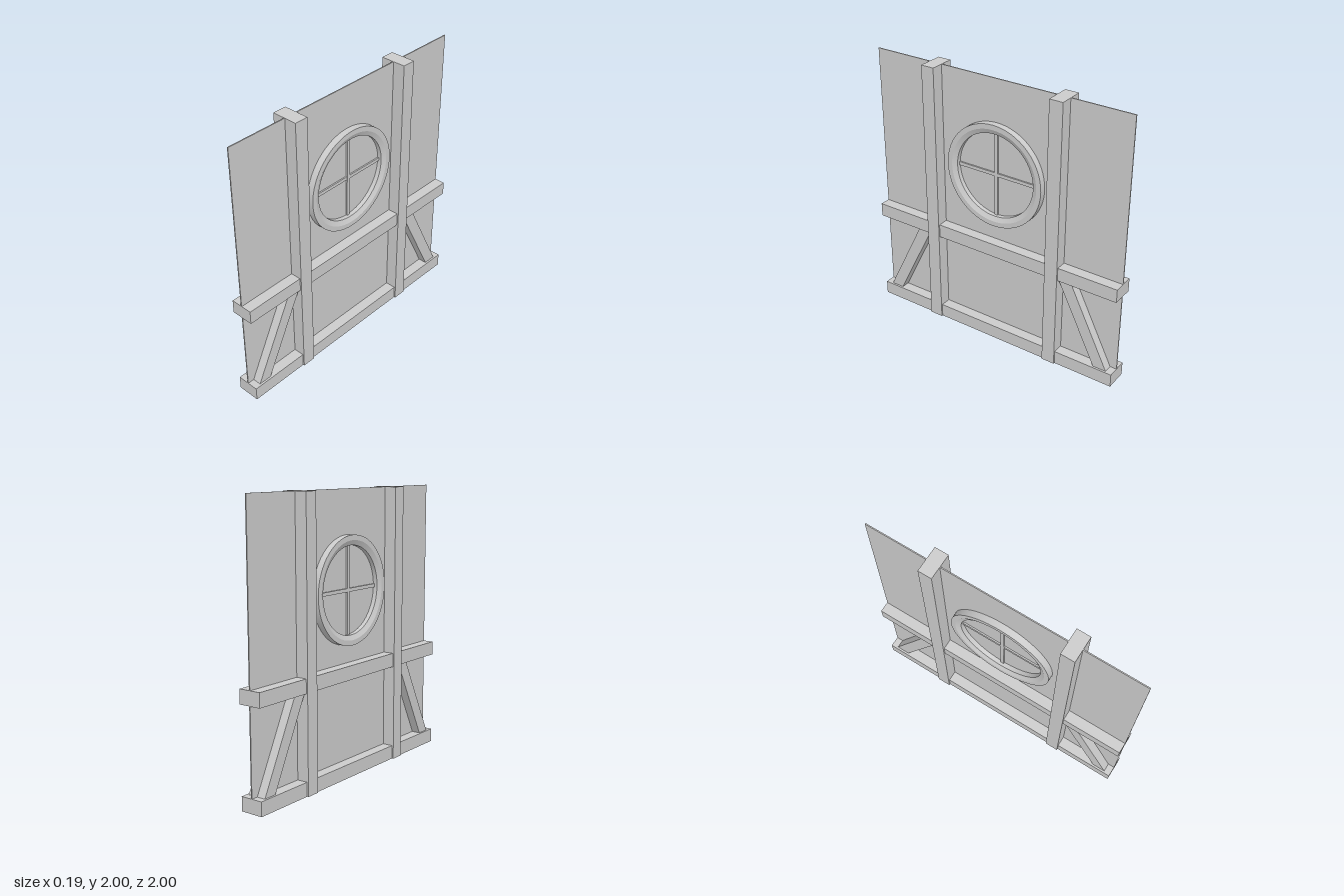
import * as THREE from 'three';

const material = new THREE.MeshStandardMaterial({ color: 0xcccccc });

export function createModel() {
  const model = new THREE.Group();
  model.name = 'timberWall';

  const add = (name, geometry, parent = model) => {
    const mesh = new THREE.Mesh(geometry, material);
    mesh.name = name;
    parent.add(mesh);
    return mesh;
  };
  const box = (name, w, h, d, y, z, parent) => {
    const mesh = add(name, new THREE.BoxGeometry(w, h, d), parent);
    mesh.position.set(0, y, z);
    return mesh;
  };

  // Thin wall panel
  box('panel', 0.008, 2, 2, 1, 0);

  // Horizontal rails
  box('bottomRail', 0.166, 0.1, 2, 0.05, 0);
  box('middleRail', 0.166, 0.1, 2, 0.75, 0);

  // Upright posts and slanted braces, mirrored front to back
  for (const s of [1, -1]) {
    const side = s > 0 ? 'front' : 'back';
    box(side + 'Post', 0.188, 2, 0.1, 1, 0.5 * s);

    const shape = new THREE.Shape([
      [0.95, 0.1], [0.65, 0.7], [0.55, 0.7], [0.85, 0.1],
    ].map(([z, y]) => new THREE.Vector2(-z * s, y)));
    const brace = new THREE.ExtrudeGeometry(shape, { depth: 0.136, bevelEnabled: false });
    brace.translate(0, 0, -0.068);
    brace.rotateY(Math.PI / 2);
    add(side + 'Brace', brace);
  }

  // Round window: bevelled ring and cross bars
  const roundWindow = new THREE.Group();
  roundWindow.name = 'roundWindow';
  roundWindow.position.y = 1.31;
  model.add(roundWindow);

  // Corners are doubled to keep the edges of the ring sharp
  const profile = [
    [0.31, 0.036], [0.345, 0.052], [0.345, 0.052], [0.381, 0.052], [0.381, 0.052],
    [0.381, -0.052], [0.381, -0.052], [0.345, -0.052], [0.345, -0.052],
    [0.31, -0.036], [0.31, -0.036], [0.31, 0.036],
  ].reverse().map(([r, x]) => new THREE.Vector2(r, x));
  const ring = new THREE.LatheGeometry(profile, 64);
  ring.rotateZ(-Math.PI / 2);
  add('windowRing', ring, roundWindow);

  box('verticalBar', 0.03, 0.63, 0.025, 0, 0, roundWindow);
  box('horizontalBar', 0.029, 0.025, 0.63, 0, 0, roundWindow);

  return model;
}
